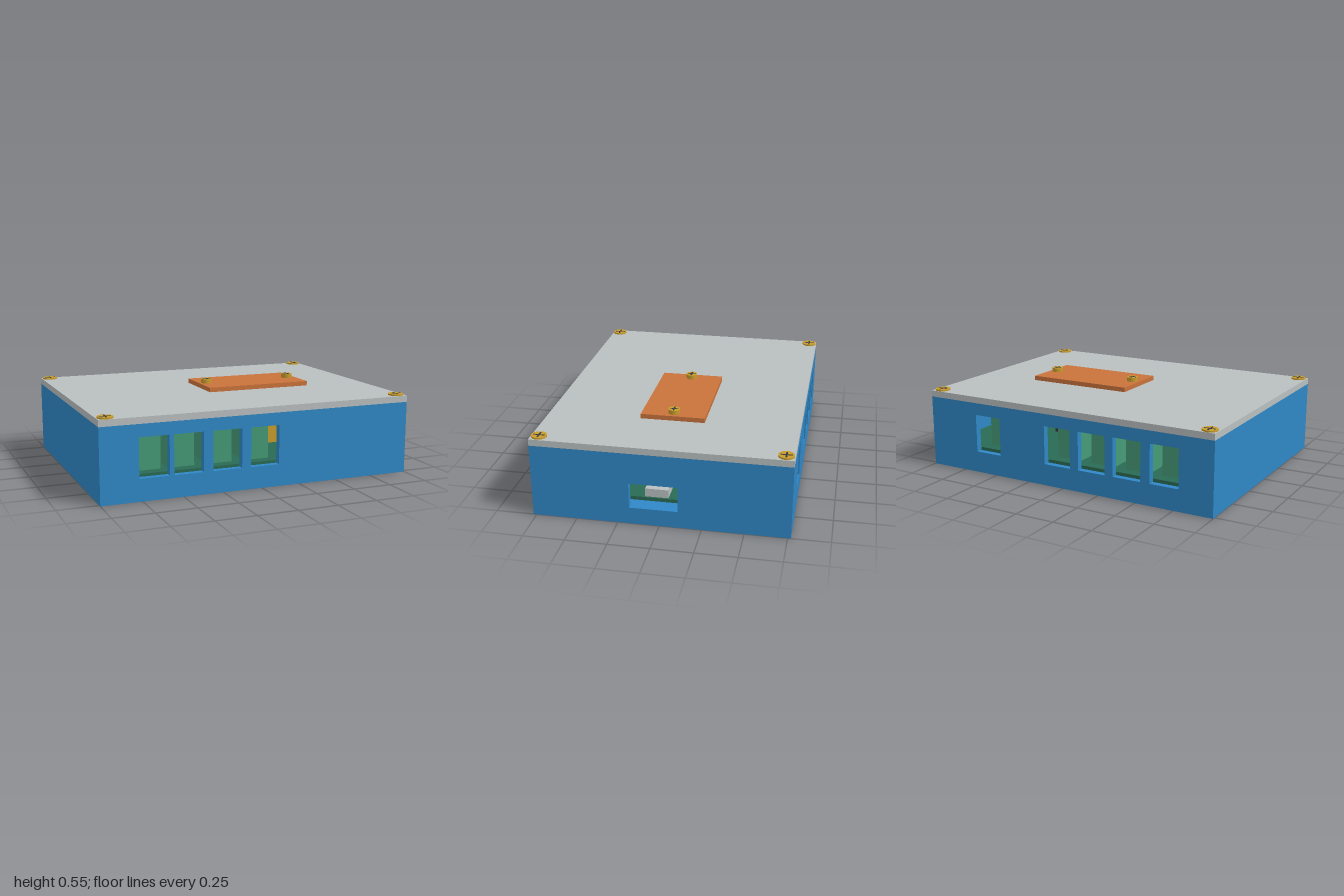
import * as THREE from 'three';

const mat = (name, color) => {
  const m = new THREE.MeshStandardMaterial({ color });
  m.name = name;
  return m;
};

export function createModel() {
  const model = new THREE.Group();
  model.name = 'electronicsEnclosure';
  const blue = mat('blue case', 0x2f87c6);
  const grey = mat('light grey', 0xb9bfc0);
  const orange = mat('orange plate', 0xc9733b);
  const brass = mat('brass', 0xc99d2c);
  const dark = mat('dark', 0x363a40);
  const boardGreen = mat('board green', 0x2a6b55);
  const green = mat('terminal green', 0x459a76);

  const W = 1, D = 0.77, H = 0.455, T = 0.04;

  const add = (name, geo, material, x = 0, y = 0, z = 0, parent = model) => {
    const mesh = new THREE.Mesh(geo, material);
    mesh.name = name;
    mesh.position.set(x, y, z);
    parent.add(mesh);
    return mesh;
  };
  // box given by its limits
  const box = (name, material, x0, x1, y0, y1, z0, z1, parent = model) =>
    add(name, new THREE.BoxGeometry(x1 - x0, y1 - y0, z1 - z0), material,
      (x0 + x1) / 2, (y0 + y1) / 2, (z0 + z1) / 2, parent);

  // wall in the xy plane with rectangular openings [x0, x1, y0, y1]
  const wallGeometry = (half, openings) => {
    const rect = (path, x0, x1, y0, y1) =>
      path.moveTo(x0, y0).lineTo(x1, y0).lineTo(x1, y1).lineTo(x0, y1).closePath();
    const shape = new THREE.Shape();
    rect(shape, -half, half, 0, H);
    for (const o of openings) {
      const hole = new THREE.Path();
      rect(hole, ...o);
      shape.holes.push(hole);
    }
    return new THREE.ExtrudeGeometry(shape, { depth: T, bevelEnabled: false });
  };

  // case walls and floor
  const frontX = [-0.676, -0.465, -0.223, 0.019];
  const backX = [-0.69, -0.445, -0.205, 0.037, 0.555];
  const opening = x => [x - 0.092, x + 0.092, 0.136, 0.378];
  add('frontWall', wallGeometry(W, frontX.map(opening)), blue, 0, 0, D - T);
  add('backWall', wallGeometry(W, backX.map(opening)), blue, 0, 0, -D);
  const leftWall = add('leftWall', wallGeometry(D - T, [[-0.18, 0.11, 0.105, 0.263]]), blue, W - T);
  leftWall.rotation.y = Math.PI / 2;
  box('rightWall', blue, -W, -W + T, 0, H, -D + T, D - T);
  box('floor', blue, -W + T, W - T, 0, T, -D + T, D - T);

  // lid and top plate
  box('lid', grey, -W, W, H, 0.495, -D, D);
  box('topPlate', orange, -0.108, 0.59, 0.495, 0.524, -0.197, 0.197);

  // screw with a cross recess on its head
  const screw = (name, x, y, z, r, h) => {
    const g = new THREE.Group();
    g.name = name;
    g.position.set(x, y, z);
    add('head', new THREE.CylinderGeometry(r, r, h, 32), brass, 0, h / 2, 0, g);
    const l = r * 0.74, w = 0.005;
    box('slot', dark, -l, l, h, h + 0.001, -w, w, g);
    box('slot', dark, -w, w, h, h + 0.001, -l, l, g);
    model.add(g);
  };
  for (const sx of [-1, 1]) for (const sz of [-1, 1]) {
    screw('lidScrew', sx * 0.947, 0.495, sz * 0.72, 0.047, 0.01);
    screw('boardScrew', sx * 0.87, 0.145, sz * 0.54, 0.045, 0.045);
  }
  for (const x of [-0.056, 0.535]) screw('plateScrew', x, 0.524, 0, 0.036, 0.027);

  // circuit board on standoffs
  box('circuitBoard', boardGreen, -0.93, 0.93, 0.123, 0.145, -0.7, 0.7);
  for (const x of [-0.87, 0.87]) for (const z of [-0.54, 0.54])
    add('standoff', new THREE.CylinderGeometry(0.04, 0.04, 0.083, 20), blue, x, 0.0815, z);

  // terminal blocks behind each opening
  const terminal = (x, s) => {
    const g = new THREE.Group();
    g.name = 'terminalBlock';
    box('housing', green, x - 0.083, x + 0.083, 0.145, 0.357, s * 0.52 - 0.11, s * 0.52 + 0.11, g);
    for (const dx of [-0.042, 0.042])
      add('clampScrew', new THREE.CylinderGeometry(0.025, 0.025, 0.004, 16), grey, x + dx, 0.359, s * 0.52, g);
    model.add(g);
  };
  frontX.forEach(x => terminal(x, 1));
  backX.forEach(x => terminal(x, -1));

  // board components
  box('usbSocket', grey, 0.72, 0.92, 0.145, 0.197, -0.04, 0.1);
  box('relay', brass, 0.2, 0.5, 0.145, 0.33, 0.13, 0.27);
  box('relay', brass, -0.2, 0.1, 0.145, 0.33, 0.032, 0.2);
  box('capacitorBlock', dark, 0.25, 0.45, 0.145, 0.33, -0.17, -0.055);
  box('chip', dark, -0.8, -0.6, 0.145, 0.2, -0.08, 0.08);
  for (const z of [-0.08, 0.12]) box('smallChip', dark, 0.68, 0.72, 0.145, 0.165, z - 0.012, z + 0.012);

  return model;
}
